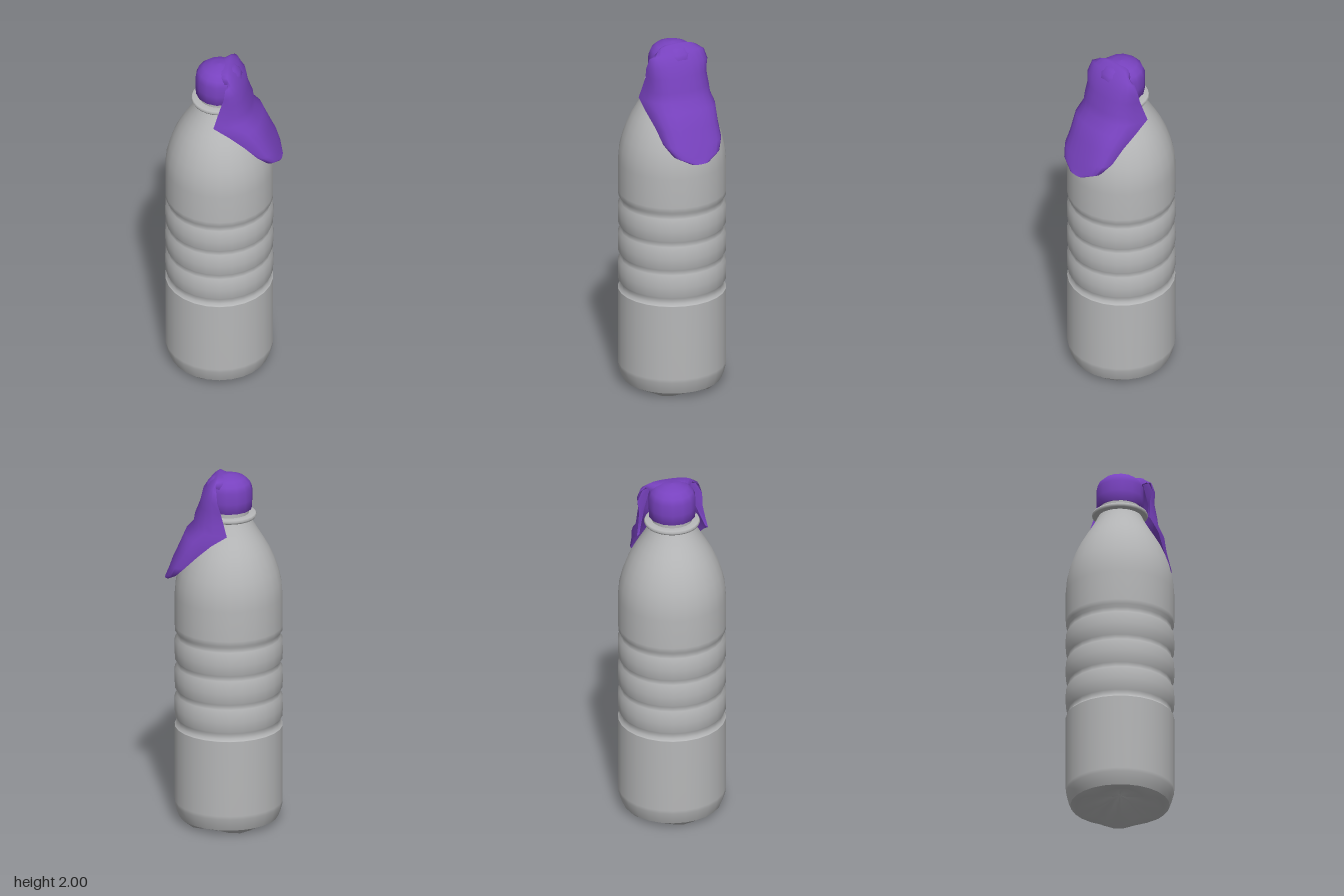
import * as THREE from 'three';

const AXIS_X = -0.027; // the bottle stands slightly off centre, the cloth hangs to +x

const grey = new THREE.MeshStandardMaterial({ color: 0xb6b7b8 });
grey.name = 'bottleGrey';
const purple = new THREE.MeshStandardMaterial({ color: 0x7842bf, side: THREE.DoubleSide });
purple.name = 'clothPurple';

function lathe(name, profile, material, segments = 26, start = Math.PI / 2) {
  const points = profile.map(([r, y]) => new THREE.Vector2(r, y));
  const mesh = new THREE.Mesh(new THREE.LatheGeometry(points, segments, start), material);
  mesh.name = name;
  mesh.position.x = AXIS_X;
  return mesh;
}

// Side wall with three raised bands between four grooves, then the shoulder
function bottleBody() {
  const profile = [[0.27, 0.03], [0.283, 0.062], [0.293, 0.1], [0.295, 0.12], [0.295, 0.55]];
  for (const y of [0.58, 0.745, 0.91, 1.075]) {
    profile.push([0.294, y - 0.028], [0.282, y - 0.014], [0.282, y + 0.014], [0.294, y + 0.028]);
    if (y < 1) profile.push([0.296, y + 0.08]);
  }
  profile.push(
    [0.295, 1.13], [0.295, 1.3], [0.288, 1.38], [0.271, 1.45], [0.248, 1.515], [0.22, 1.575],
    [0.188, 1.63], [0.16, 1.675], [0.137, 1.715], [0.122, 1.745], [0.114, 1.765]
  );
  return lathe('bottleBody', profile, grey);
}

// Underside: a hollow with five radial folds and a scalloped rim
function bottleBase() {
  const mesh = lathe('bottleBase', [[0, 0.09], [0.06, 0.075], [0.14, 0.045], [0.21, 0.02], [0.238, 0.01], [0.27, 0.03]], grey);
  const p = mesh.geometry.attributes.position;
  for (let i = 0; i < p.count; i++) {
    const r = Math.hypot(p.getX(i), p.getZ(i));
    if (r < 0.01 || r > 0.25) continue;
    const fold = Math.cos(5 * Math.atan2(p.getZ(i), p.getX(i)));
    p.setY(i, p.getY(i) + fold * (r > 0.23 ? 0.01 : 0.018));
  }
  mesh.geometry.computeVertexNormals();
  return mesh;
}

// Hanging cloth: rows of [middle x, middle y, edge x, edge y, half width]
function hangingCloth() {
  const rows = [
    [-0.02, 1.99, 0.0, 1.93, 0.1],
    [0.025, 1.998, 0.035, 1.955, 0.13],
    [0.07, 1.962, 0.025, 1.94, 0.165],
    [0.113, 1.905, 0.018, 1.885, 0.182],
    [0.128, 1.84, 0.0, 1.825, 0.178],
    [0.157, 1.765, -0.022, 1.75, 0.19],
    [0.165, 1.71, -0.036, 1.7, 0.2],
    [0.208, 1.665, 0.05, 1.645, 0.2],
    [0.245, 1.577, 0.13, 1.57, 0.182],
    [0.283, 1.49, 0.2, 1.5, 0.173],
    [0.304, 1.43, 0.25, 1.445, 0.14],
    [0.319, 1.397, 0.295, 1.4, 0.055],
  ];
  const columns = 12;
  const positions = [], index = [];
  rows.forEach(([mx, my, ex, ey, half], i) => {
    for (let j = 0; j <= columns; j++) {
      const u = (j / columns) * 2 - 1;
      const bend = Math.pow(Math.abs(u), 2.4);
      positions.push(
        THREE.MathUtils.lerp(mx, ex, bend),
        THREE.MathUtils.lerp(my, ey, bend),
        half * Math.sin(u * Math.PI * 0.5)
      );
      if (i && j) {
        const d = i * (columns + 1) + j, c = d - 1, b = d - columns - 1, a = b - 1;
        index.push(a, c, b, b, c, d);
      }
    }
  });
  const geometry = new THREE.BufferGeometry();
  geometry.setAttribute('position', new THREE.Float32BufferAttribute(positions, 3));
  geometry.setIndex(index);
  // Wind the faces so that the front looks away from the bottle
  geometry.computeVertexNormals();
  const middle = 6 * (columns + 1) + columns / 2;
  if (geometry.attributes.normal.getX(middle) < 0) {
    geometry.setIndex(index.slice().reverse());
    geometry.computeVertexNormals();
  }
  const mesh = new THREE.Mesh(geometry, purple);
  mesh.name = 'hangingCloth';
  return mesh;
}

// Narrow folded hem from the cap out to the side edge of the cloth
function clothFold(side) {
  const outer = [[0.03, 1.945, 0.15], [0.018, 1.885, 0.182], [0.0, 1.825, 0.178], [-0.022, 1.75, 0.19], [-0.036, 1.7, 0.2]];
  const inner = [[0.04, 1.95, 0.105], [0.045, 1.885, 0.12], [0.035, 1.825, 0.14], [0.0, 1.76, 0.165], [-0.03, 1.71, 0.185]];
  const positions = [], index = [];
  outer.forEach((o, i) => {
    for (const [x, y, z] of [o, inner[i]]) positions.push(x, y, z * side);
    if (i) {
      const k = i * 2;
      if (side > 0) index.push(k - 2, k - 1, k, k - 1, k + 1, k);
      else index.push(k - 2, k, k - 1, k - 1, k, k + 1);
    }
  });
  const geometry = new THREE.BufferGeometry();
  geometry.setAttribute('position', new THREE.Float32BufferAttribute(positions, 3));
  geometry.setIndex(index);
  geometry.computeVertexNormals();
  const mesh = new THREE.Mesh(geometry, purple);
  mesh.name = side > 0 ? 'frontClothFold' : 'backClothFold';
  return mesh;
}

export function createModel() {
  const model = new THREE.Group();
  model.name = 'coveredBottle';
  model.add(
    bottleBody(),
    bottleBase(),
    lathe('neckRing', [[0.11, 1.752], [0.147, 1.754], [0.153, 1.765], [0.147, 1.776], [0.11, 1.778]], grey),
    lathe('neck', [[0.112, 1.76], [0.11, 1.83]], grey),
    // Cloth pulled tight over the bottle top
    lathe('clothCap', [
      [0.108, 1.808], [0.128, 1.804], [0.13, 1.86], [0.129, 1.92], [0.116, 1.952],
      [0.088, 1.977], [0.045, 1.993], [0, 1.998],
    ], purple, 14, 0),
    hangingCloth(),
    clothFold(1),
    clothFold(-1)
  );
  return model;
}
